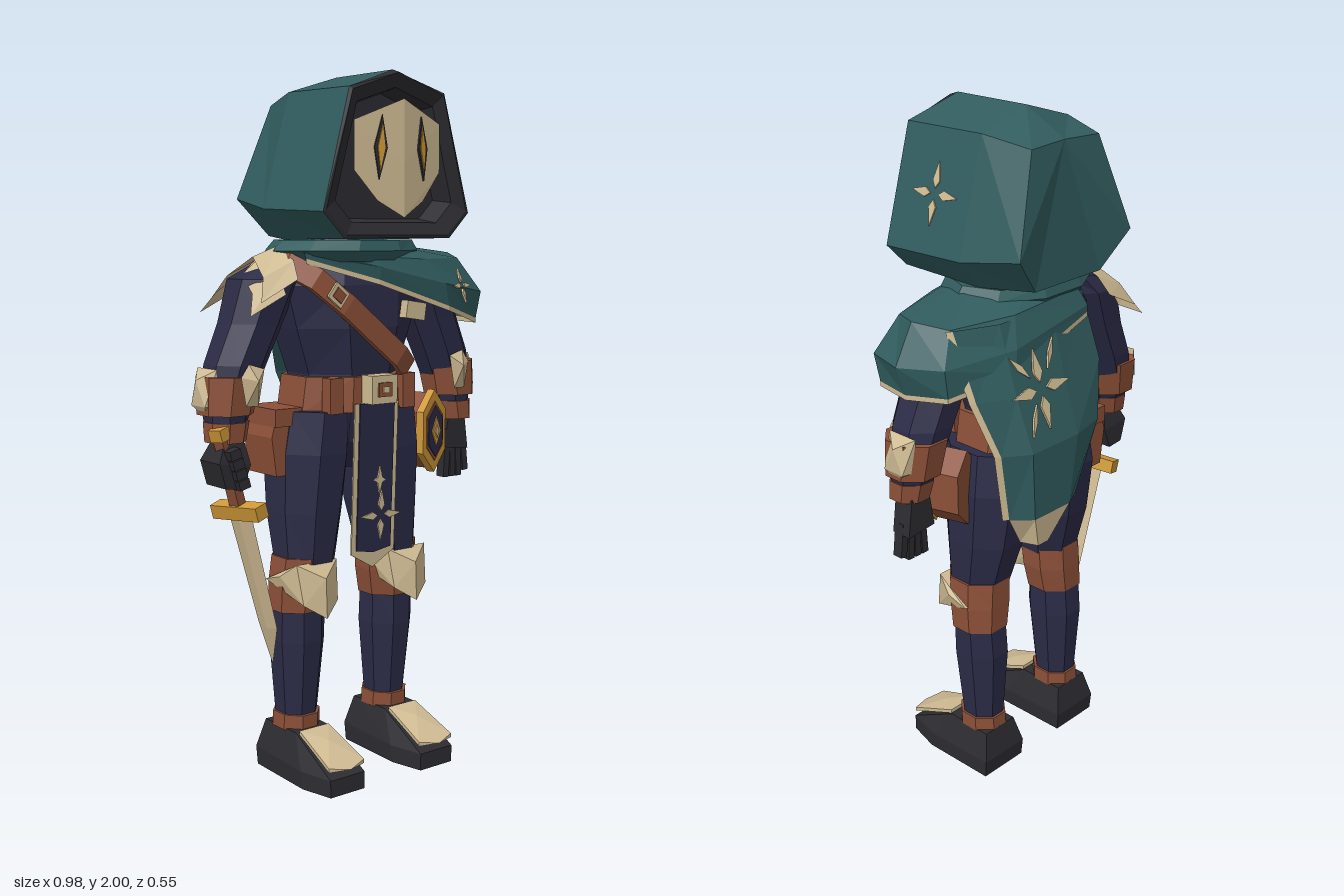
import * as THREE from 'three';
import { ConvexGeometry } from 'three/addons/geometries/ConvexGeometry.js';

const paint = (name, color) => {
  const m = new THREE.MeshStandardMaterial({ color, side: THREE.DoubleSide });
  m.name = name;
  return m;
};

export function createModel() {
  const model = new THREE.Group();
  model.name = 'hoodedRogue';
  const teal = paint('teal cloth', 0x315c5e), navy = paint('navy cloth', 0x2b2b47), cream = paint('bone plate', 0xcfbb93),
    brown = paint('brown leather', 0x8c5038), dark = paint('charcoal', 0x2c2c31), gold = paint('gold', 0xcf9838);
  const V = (p) => new THREE.Vector3(...p);

  // ---- helpers ----
  const add = (name, geo, mat, parent = model) => {
    const mesh = new THREE.Mesh(geo, mat);
    mesh.name = name;
    parent.add(mesh);
    return mesh;
  };
  // flat-shaded skin over rows of points; wrap closes each row, caps close the ends
  const skin = (name, rows, mat, wrap = false, capStart = false, capEnd = false) => {
    const tris = [], n = rows[0].length;
    for (let i = 0; i < rows.length - 1; i++)
      for (let j = 0; j < (wrap ? n : n - 1); j++) {
        const k = (j + 1) % n, a = rows[i][j], b = rows[i][k], c = rows[i + 1][k], d = rows[i + 1][j];
        tris.push([a, b, c], [a, c, d]);
      }
    for (let j = 1; j < n - 1; j++) {
      const s = rows[0], e = rows[rows.length - 1];
      if (capStart) tris.push([s[0], s[j + 1], s[j]]);
      if (capEnd) tris.push([e[0], e[j], e[j + 1]]);
    }
    const o = V(rows[0][0]);
    const volume = tris.reduce((sum, t) => {
      const [a, b, c] = t.map((p) => V(p).sub(o));
      return sum + a.dot(b.cross(c));
    }, 0);
    if (volume < 0) tris.forEach((t) => t.reverse());
    const geo = new THREE.BufferGeometry();
    geo.setAttribute('position', new THREE.Float32BufferAttribute(tris.flat(2), 3));
    geo.computeVertexNormals();
    return add(name, geo, mat);
  };
  // stacked level rings [x, y, z, half width, half depth]
  const limb = (name, rows, mat, n = 8) => skin(name, rows.map(([x, y, z, rx, rz]) =>
    Array.from({ length: n }, (_, i) => {
      const a = ((i + 0.5) / n) * Math.PI * 2, k = 1 / Math.cos(Math.PI / n);
      return [x + Math.sin(a) * rx * k, y, z + Math.cos(a) * rz * k];
    })), mat, true, true, true);
  const solid = (name, pts, mat, parent) => add(name, new ConvexGeometry(pts.map(V)), mat, parent);
  const box = (name, size, pos, mat, parent, rz = 0) => {
    const m = add(name, new THREE.BoxGeometry(...size), mat, parent);
    m.position.set(...pos);
    m.rotation.z = rz;
    return m;
  };
  const plate = (name, outlines, mat, pos, rot = [0, 0, 0], depth = 0.006, parent = model) => {
    const shapes = outlines.map((o) => new THREE.Shape(o.map((p) => new THREE.Vector2(...p))));
    const m = add(name, new THREE.ExtrudeGeometry(shapes, { depth, bevelEnabled: false }), mat, parent);
    m.position.set(...pos);
    m.rotation.set(...rot, 'ZYX');
    return m;
  };
  const diamond = (w, h) => [[0, -h], [w, 0], [0, h], [-w, 0]];
  // four-pointed cross emblem
  const emblem = (name, pos, rot, s = 1) => plate(name, [0, 1, 2, 3].map((q) => {
    const c = Math.round(Math.cos(q * Math.PI / 2)), d = Math.round(Math.sin(q * Math.PI / 2));
    return [[0, 0.015], [0.013, 0.035], [0, 0.085], [-0.013, 0.035]].map(([x, y]) => [(x * c - y * d) * s, (x * d + y * c) * s]);
  }), cream, pos, rot);
  const mirrorRing = (h) => [...h, ...h.slice(1).reverse().map(([x, y, z]) => [-x, y, z])];

  // ---- hood, lining and mask ----
  const rim = mirrorRing([[0, 2, 0.222], [0.165, 1.945, 0.245], [0.255, 1.62, 0.25], [0.185, 1.55, 0.25]]);
  skin('hood', [rim,
    mirrorRing([[0, 2, -0.03], [0.165, 1.95, -0.03], [0.253, 1.63, -0.03], [0.18, 1.545, -0.03]]),
    mirrorRing([[0, 1.93, -0.165], [0.13, 1.925, -0.17], [0.22, 1.66, -0.215], [0.13, 1.555, -0.185]])], teal, true, false, true);
  const inset = (k, z) => rim.map(([x, y]) => [x * k, 1.76 + (y - 1.76) * k, z]);
  skin('hoodLining', [rim, inset(0.96, 0.252), inset(0.8, 0.235), inset(0.75, 0.17)], dark, true, false, true);
  solid('mask', [[0, 1.92, 0.272], [0, 1.605, 0.275], [0, 1.75, 0.275]].concat([-1, 1].flatMap((s) =>
    [[s * 0.15, 1.86, 0.245], [s * 0.15, 1.73, 0.245], [s * 0.08, 1.65, 0.258], [s * 0.13, 1.8, 0.22]])), cream);
  for (const s of [-1, 1]) {
    plate('eyeSlit', [diamond(0.02, 0.085)], dark, [s * 0.072, 1.79, 0.259], [0, s * 0.2, s * 0.06]);
    plate('eyeGlow', [diamond(0.011, 0.06)], gold, [s * 0.072, 1.79, 0.262], [0, s * 0.2, s * 0.06]);
  }
  emblem('hoodEmblem', [0.209, 1.78, 0.1], [0, Math.PI / 2, 0.27]);

  // ---- torso, belt, strap ----
  limb('torso', [[0, 1.06, 0, 0.175, 0.135], [0, 1.17, 0, 0.16, 0.13], [0, 1.3, 0, 0.205, 0.145],
    [0, 1.42, 0, 0.235, 0.135], [0, 1.5, -0.01, 0.17, 0.11], [0, 1.58, 0, 0.09, 0.08]], navy);
  limb('pelvis', [[0, 1.08, 0, 0.18, 0.135], [0, 0.98, 0, 0.19, 0.13], [0, 0.9, 0, 0.08, 0.09]], navy);
  limb('belt', [[0, 1.065, 0, 0.19, 0.15], [0, 1.165, 0, 0.175, 0.148]], brown);
  box('buckle', [0.09, 0.08, 0.05], [0, 1.13, 0.17], cream);
  box('buckleCore', [0.048, 0.04, 0.008], [0, 1.13, 0.196], brown);
  box('buckleTongue', [0.022, 0.018, 0.008], [0, 1.13, 0.2], cream);
  for (const x of [-0.13, 0.13]) box('beltLoop', [0.045, 0.1, 0.04], [x, 1.115, 0.125], brown);
  skin('chestStrap', [[-0.25, 1.485, 0.06], [-0.19, 1.44, 0.125], [-0.1, 1.365, 0.152], [0.09, 1.215, 0.15], [0.14, 1.175, 0.125]].map(([x, y, z]) =>
    [[1, 1], [-1, 1], [-1, -1], [1, -1]].map(([u, w]) => [x + u * 0.02, y + u * 0.025, z + w * 0.01])), brown, true, true, true);
  box('strapBuckle', [0.055, 0.05, 0.008], [-0.135, 1.395, 0.158], cream, model, -0.67);
  box('strapBuckleCore', [0.035, 0.03, 0.008], [-0.135, 1.395, 0.162], brown, model, -0.67);
  box('chestBadge', [0.07, 0.05, 0.03], [0.135, 1.345, 0.155], cream, model, -0.15);

  // ---- tabard ----
  const flag = (w, low, tip) => [[[-w, 1.09], [-w, low], [0, tip], [w, low], [w, 1.09]].map(([x, y]) => [x, y - 1.09])];
  plate('tabardTrim', flag(0.078, 0.655, 0.61), cream, [0, 1.09, 0.155], [0.04, 0, 0], 0.005);
  plate('tabard', flag(0.062, 0.665, 0.655), navy, [0, 1.09, 0.16], [0.04, 0, 0], 0.004);
  emblem('tabardEmblem', [0, 0.77, 0.176], [0.04, 0, 0], 0.85);
  plate('tabardSpire', [diamond(0.01, 0.04), diamond(0.022, 0.012)], cream, [0, 0.87, 0.17], [0.04, 0, 0]);

  // ---- legs and arms, mirrored ----
  for (const s of [-1, 1]) {
    const x = s * 0.165, around = (list) => list.flatMap(([w, y, z]) => [[x + w, y, z], [x - w, y, z]]);
    limb('thigh', [[s * 0.12, 1.07, 0, 0.1, 0.13], [s * 0.13, 0.95, -0.005, 0.11, 0.135],
      [s * 0.14, 0.78, 0, 0.1, 0.115], [s * 0.15, 0.62, 0.015, 0.08, 0.085]], navy);
    limb('kneeStrap', [[s * 0.153, 0.65, 0.012, 0.085, 0.09], [s * 0.158, 0.57, 0.005, 0.088, 0.085], [x, 0.49, 0, 0.08, 0.08]], brown);
    solid('kneePad', around([[0.07, 0.64, 0.095], [0.09, 0.58, -0.03], [0.09, 0.6, 0.04], [0.06, 0.525, 0.115], [0, 0.485, 0.145], [0, 0.6, 0.14]]), cream);
    limb('shin', [[x, 0.52, 0, 0.075, 0.075], [x, 0.4, -0.005, 0.075, 0.08], [x, 0.16, -0.01, 0.055, 0.06]], navy);
    limb('ankleStrap', [[x, 0.18, -0.008, 0.063, 0.07], [x, 0.135, -0.01, 0.064, 0.07]], brown);
    solid('boot', around([[0.08, 0, -0.095], [0.085, 0, 0.14], [0.06, 0, 0.24], [0.06, 0.14, -0.08],
      [0.058, 0.14, 0.07], [0.06, 0.05, 0.24], [0.082, 0.055, -0.1], [0.085, 0.05, 0.13]]), dark);
    solid('toePlate', around([[0.052, 0.147, 0.08], [0.052, 0.135, 0.08], [0.062, 0.085, 0.235], [0.062, 0.073, 0.235], [0, 0.075, 0.255], [0, 0.13, 0.15]]), cream);

    limb('upperArm', [[s * 0.22, 1.49, 0, 0.05, 0.07], [s * 0.275, 1.44, 0, 0.095, 0.095], [s * 0.32, 1.32, 0, 0.085, 0.085],
      [s * 0.37, 1.21, 0, 0.082, 0.08], [s * 0.4, 1.12, 0, 0.07, 0.07], [s * 0.415, 1, 0.015, 0.045, 0.045]], navy);
    limb('bracer', [[s * 0.395, 1.18, 0, 0.082, 0.085], [s * 0.408, 1.075, 0.005, 0.073, 0.075]], brown);
    limb('wristStrap', [[s * 0.408, 1.055, 0.01, 0.06, 0.06], [s * 0.415, 1, 0.015, 0.053, 0.055]], brown);
    solid('elbowGuard', [[0.455, 1.2, 0.04], [0.455, 1.2, -0.06], [0.492, 1.17, -0.01], [0.488, 1.1, 0.03],
      [0.488, 1.1, -0.04], [0.47, 1.07, 0], [0.45, 1.1, 0.04], [0.45, 1.1, -0.05]].map(([a, y, z]) => [s * a, y, z]), cream);
    solid('forearmPlate', [[0.335, 1.2, 0.09], [0.385, 1.215, 0.09], [0.41, 1.18, 0.09], [0.395, 1.1, 0.09],
      [0.355, 1.1, 0.09], [0.37, 1.17, 0.115], [0.375, 1.17, 0.06]].map(([a, y, z]) => [s * a, y, z]), cream);
  }

  // ---- right shoulder plates, two layers ----
  const layer = (inner, outer) => skin('shoulderPlate', [inner, outer].map(([mx, my, fx, fy]) =>
    [[-0.125, 1], [-0.09, 0.45], [0, 0], [0.09, 0.45], [0.13, 1]].map(([z, f]) => [mx + (fx - mx) * f, my + (fy - my) * f, z])), cream);
  layer([-0.225, 1.53, -0.25, 1.44], [-0.31, 1.5, -0.37, 1.38]);
  layer([-0.28, 1.505, -0.29, 1.4], [-0.345, 1.45, -0.405, 1.345]);

  // ---- hands ----
  solid('fist', [-0.05, 0.05].flatMap((z) => [[-0.45, 1.0, z * 0.7], [-0.385, 1.0, z * 0.7], [-0.475, 0.95, z], [-0.375, 0.94, z],
    [-0.455, 0.88, z], [-0.4, 0.875, z]]).map(([x, y, z]) => [x, y, z + 0.03]), dark);
  for (let i = 0; i < 4; i++) box('curledFinger', [0.035, 0.026, 0.05], [-0.435 + i * 0.009, 0.975 - i * 0.028, 0.075], dark, model, 0.26);
  solid('palm', [-0.032, 0.032].flatMap((z) => [[0.385, 1.01, z], [0.45, 1.01, z], [0.37, 0.91, z], [0.465, 0.9, z]]), dark);
  for (let i = 0; i < 4; i++) box('finger', [0.021, 0.1, 0.032], [0.385 + i * 0.024, 0.865 + (i === 3 ? 0.015 : 0), 0.01], dark, model, (i - 1) * 0.06);
  box('thumb', [0.022, 0.085, 0.03], [0.362, 0.925, 0.02], dark, model, -0.4);

  // ---- sword ----
  const sword = new THREE.Group();
  sword.name = 'sword';
  sword.position.set(-0.395, 0.81, 0.05);
  sword.rotation.set(0, 0.25, 0.265, 'ZYX');
  model.add(sword);
  box('grip', [0.03, 0.22, 0.035], [0, 0.11, 0], brown, sword);
  box('pommel', [0.04, 0.035, 0.045], [0, 0.225, 0], gold, sword);
  box('guard', [0.045, 0.04, 0.17], [0, 0, 0], gold, sword);
  solid('blade', [[0.01, 0, 0], [-0.01, 0, 0], [0, 0, 0.042], [0, 0, -0.042], [0.008, -0.36, 0], [-0.008, -0.36, 0],
    [0, -0.36, 0.032], [0, -0.34, -0.034], [0, -0.48, -0.02]], cream, sword);

  // ---- hip pouch and hexagonal case ----
  solid('hipPouch', [-0.09, 0.05].flatMap((z) => [[-0.17, 1.075, z], [-0.265, 1.075, z], [-0.285, 1.0, z], [-0.27, 0.89, z], [-0.18, 0.89, z]]), brown);
  box('pouchFlap', [0.115, 0.05, 0.155], [-0.22, 1.055, -0.02], brown);
  const hexCase = new THREE.Group();
  hexCase.name = 'hexCase';
  hexCase.position.set(0.262, 0.975, 0.02);
  hexCase.rotation.y = 0.3;
  model.add(hexCase);
  [['caseBody', 0.92, 0.12, 0, brown], ['caseRim', 1, 0.025, 0.055, gold], ['caseFace', 0.72, 0.008, 0.066, brown], ['caseInset', 0.62, 0.008, 0.069, navy]].forEach(([name, k, h, z, mat]) => {
    const m = add(name, new THREE.CylinderGeometry(1, 1, h, 6).rotateX(Math.PI / 2).scale(0.072 * k, 0.125 * k, 1).toNonIndexed(), mat, hexCase);
    m.geometry.computeVertexNormals();
    m.position.z = z;
  });
  plate('caseGem', [diamond(0.024, 0.045)], gold, [0, 0, 0.07], [0, 0, 0], 0.006, hexCase);
  plate('caseGemCore', [diamond(0.01, 0.02)], cream, [0, 0, 0.073], [0, 0, 0], 0.006, hexCase);

  // ---- collar, mantle and cape ----
  limb('collar', [[-0.01, 1.485, 0.015, 0.19, 0.15], [-0.015, 1.515, 0.015, 0.225, 0.175], [-0.01, 1.545, 0.015, 0.2, 0.165]], teal, 10);
  const folds = [
    [[-0.19, 1.53, 0.07], [-0.21, 1.52, 0.09], [-0.215, 1.51, 0.11], [-0.21, 1.495, 0.11]],
    [[-0.03, 1.525, 0.13], [-0.02, 1.5, 0.165], [0, 1.47, 0.178], [0, 1.435, 0.172]],
    [[0.1, 1.525, 0.13], [0.17, 1.49, 0.165], [0.23, 1.42, 0.188], [0.25, 1.355, 0.18]],
    [[0.17, 1.525, 0.08], [0.36, 1.49, 0.09], [0.43, 1.39, 0.12], [0.42, 1.31, 0.11]],
    [[0.19, 1.53, 0], [0.41, 1.505, -0.01], [0.47, 1.395, -0.01], [0.44, 1.31, -0.01]],
    [[0.17, 1.525, -0.07], [0.36, 1.49, -0.1], [0.41, 1.4, -0.13], [0.4, 1.32, -0.13]],
    [[0.08, 1.525, -0.11], [0.18, 1.5, -0.16], [0.21, 1.42, -0.195], [0.22, 1.36, -0.2]],
    [[-0.08, 1.525, -0.11], [-0.08, 1.51, -0.15], [-0.1, 1.46, -0.17], [-0.1, 1.44, -0.17]]];
  skin('mantle', folds, teal);
  skin('mantleTrim', folds.map((f) => [f[3], [f[3][0], f[3][1] - 0.014, f[3][2]]]), cream);
  emblem('mantleEmblem', [0.318, 1.41, 0.155], [-0.3, 0.35, 0], 0.6);
  const drape = [[1.49, -0.16, [-0.12, 0.04, 0.24, 0.36]], [1.3, -0.222, [-0.13, 0.05, 0.24, 0.34]], [1.15, -0.272, [-0.07, 0.05, 0.23, 0.3]],
    [0.95, -0.272, [0.02, 0.08, 0.22, 0.27]], [0.86, -0.265, [0.13, 0.16, 0.2, 0.22]]]
    .map(([y, z, xs]) => xs.map((x, i) => [x, y, z + [0.03, 0, 0, 0.05][i]]));
  skin('cape', drape.slice(0, 4), teal);
  skin('capeTip', drape.slice(3), cream);
  skin('capeTrim', drape.slice(0, 4).map((r) => [r[3], [r[3][0] + 0.014, r[3][1], r[3][2] + 0.012]]), cream);
  emblem('capeEmblem', [0.15, 1.3, -0.224], [-0.32, Math.PI, 0], 1.3);
  for (const [x, y, r] of [[0.09, 1.38, 0.6], [0.21, 1.37, -0.7], [0.2, 1.23, 0.5]])
    plate('capeBranch', [diamond(0.009, 0.045)], cream, [x, y, -0.16 - (1.49 - y) * 0.335 - 0.001], [-0.32, Math.PI, r]);

  return model;
}
